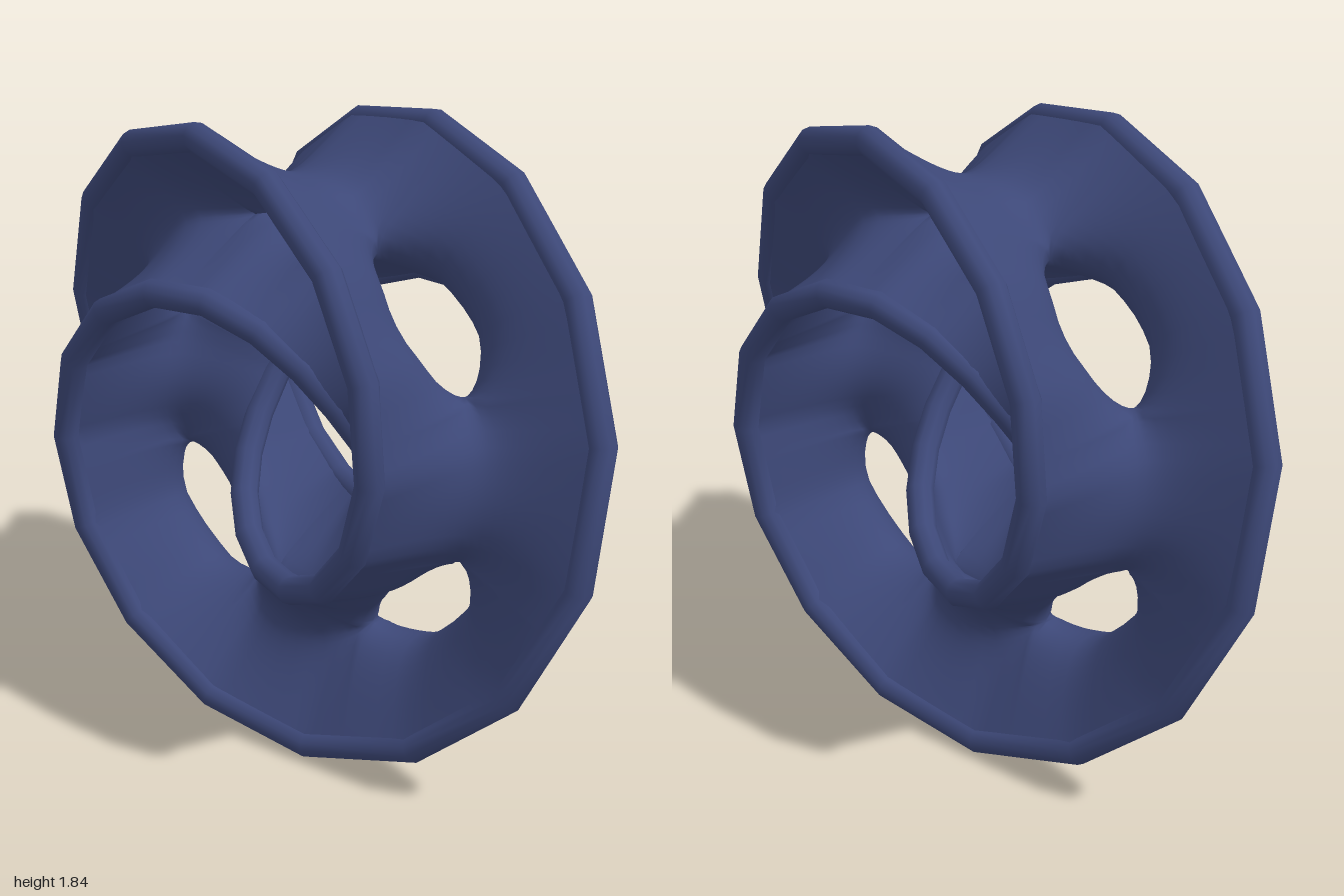
import * as THREE from 'three';
import { mergeVertices } from 'three/addons/utils/BufferGeometryUtils.js';

// A saddle chain with eight storeys, bent into a ring with half a turn of twist.
const RING = 0.62, REACH = 0.36, Z_STRETCH = 1.09, CENTRE_Y = 0.95;
const DEG = Math.PI / 180, STEP = 22.5 * DEG;
// Edge corners sit at (+-CP, +-CQ) in the section
const CP = REACH * Math.cos(52 * DEG), CQ = REACH * Math.sin(52 * DEG);
const RIM = 0.041, HALF_THICK = 0.032;

// Section point (p, q) at ring angle a, turned by the twist.
function bend(a, p, q) {
  const w = (Math.PI / 2 - a) / 2;
  const r = RING + p * Math.cos(w) - q * Math.sin(w);
  const z = (p * Math.sin(w) + q * Math.cos(w)) * Z_STRETCH;
  return new THREE.Vector3(r * Math.cos(a), r * Math.sin(a), z);
}

// The ring is faceted: straight between sixteen sections.
function place(a, p, q) {
  const k = a / STEP - 0.5, k0 = Math.floor(k + 1e-6);
  return bend((k0 + 0.5) * STEP, p, q).lerp(bend((k0 + 1.5) * STEP, p, q), k - k0);
}

// Middle surface: each storey is two facing arcs; storeys alternate direction.
function middleSurface() {
  const pos = [], index = [], NU = 16, NT = 20;
  for (let s = 0; s < 8; s++) {
    const odd = s % 2 === 1;
    const gap = odd ? 0.13 : 0.092, span = odd ? 25 : 20, power = odd ? 0.5 : 0.75;
    for (const side of [1, -1]) {
      const base = pos.length / 3;
      for (let i = 0; i <= NU; i++) {
        const x = Math.sin((i / NU * 2 - 1) * Math.PI / 2);
        // the arcs meet exactly at both ends of the storey
        const open = i % NU ? gap * Math.cos(x * Math.PI / 2) ** power : 0;
        const a = (90 + 45 * s + span * x) * DEG;
        for (let j = 0; j <= NT; j++) {
          const t = j / NT * 2 - 1;
          const out = side * Math.hypot((odd ? CQ : CP) * t, open * Math.sqrt(1 - t * t));
          const v = odd ? place(a, CP * t, out) : place(a, out, CQ * t);
          pos.push(v.x, v.y, v.z);
          if (i < NU && j < NT) {
            const A = base + i * (NT + 1) + j, B = A + NT + 1;
            if (side > 0) index.push(A, B, A + 1, B, B + 1, A + 1);
            else index.push(A, A + 1, B, B, A + 1, B + 1);
          }
        }
      }
    }
  }
  // The last section is the first one turned by half a turn, so the seam welds.
  let g = new THREE.BufferGeometry();
  g.setAttribute('position', new THREE.Float32BufferAttribute(pos, 3));
  g.setIndex(index);
  g = mergeVertices(g, 1e-4);
  g.computeVertexNormals();
  return g;
}

// One face of the sheet, moved off the middle surface.
function shell(middle, sign) {
  const g = middle.clone(), p = g.attributes.position, n = g.attributes.normal;
  for (let i = 0; i < p.count; i++) {
    const k = sign * HALF_THICK;
    p.setXYZ(i, p.getX(i) + n.getX(i) * k, p.getY(i) + n.getY(i) * k, p.getZ(i) + n.getZ(i) * k);
  }
  if (sign < 0) g.index.array.reverse();
  g.computeVertexNormals();
  return g;
}

// Closed edge line that goes twice around the ring.
class RimCurve extends THREE.Curve {
  constructor(p, q) { super(); this.p = p; this.q = q; }
  getPoint(t) { return bend((0.5 + t * 32) * STEP, this.p, this.q); }
  getPointAt(t) { return this.getPoint(t); }
  getTangentAt(t) { return this.getTangent(t); }
}

export function createModel() {
  const group = new THREE.Group();
  const blue = new THREE.MeshStandardMaterial({ color: 0x3d4878, side: THREE.DoubleSide });
  blue.name = 'slate blue';

  const add = (name, geometry) => {
    const mesh = new THREE.Mesh(geometry, blue);
    mesh.name = name;
    mesh.position.y = CENTRE_Y;
    group.add(mesh);
  };

  // Sheet
  const middle = middleSurface();
  add('sheetFirstFace', shell(middle, 1));
  add('sheetSecondFace', shell(middle, -1));

  // Rounded edges
  add('firstRim', new THREE.TubeGeometry(new RimCurve(CP, CQ), 32, RIM, 10, true));
  add('secondRim', new THREE.TubeGeometry(new RimCurve(-CP, CQ), 32, RIM, 10, true));
  return group;
}
